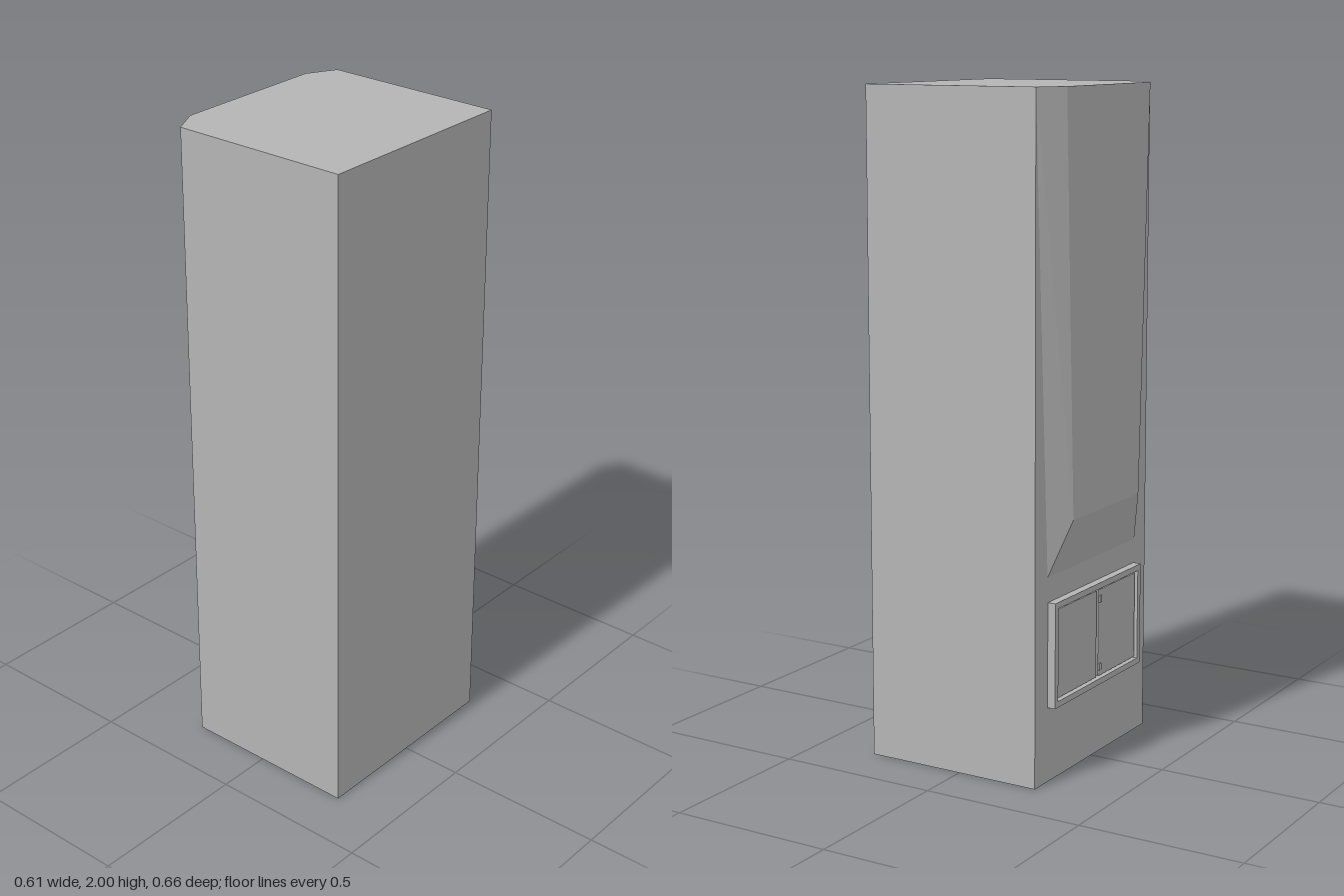
import * as THREE from 'three';
import { ConvexGeometry } from 'three/addons/geometries/ConvexGeometry.js';

export function createModel() {
  const model = new THREE.Group();
  model.name = 'cabinetTower';
  const grey = new THREE.MeshStandardMaterial({ color: 0xb4b4b4 });
  grey.name = 'plain grey';

  const add = (parent, name, geometry, x = 0, y = 0, z = 0) => {
    const mesh = new THREE.Mesh(geometry, grey);
    mesh.name = name;
    mesh.position.set(x, y, z);
    parent.add(mesh);
    return mesh;
  };
  const rect = (path, w, h) => {
    path.moveTo(-w / 2, -h / 2);
    path.lineTo(w / 2, -h / 2);
    path.lineTo(w / 2, h / 2);
    path.lineTo(-w / 2, h / 2);
    path.closePath();
    return path;
  };

  // Tall body, its +x wall leaning in by a hair
  const side = -0.259, halfDepth = 0.332;
  const profile = new THREE.Shape([
    new THREE.Vector2(side, 0),
    new THREE.Vector2(0.306, 0),
    new THREE.Vector2(0.303, 2),
    new THREE.Vector2(side, 2),
  ]);
  const body = new THREE.ExtrudeGeometry(profile, { depth: 2 * halfDepth, bevelEnabled: false });
  body.translate(0, 0, -halfDepth);
  add(model, 'body', body);

  // Chamfered hood on the -x wall, narrowing downward
  const corners = [];
  for (const s of [-1, 1]) {
    corners.push(
      new THREE.Vector3(side, 2, s * halfDepth),
      new THREE.Vector3(-0.306, 2, s * 0.244),
      new THREE.Vector3(side, 0.615, s * 0.262),
      new THREE.Vector3(-0.306, 0.776, s * 0.197),
    );
  }
  add(model, 'hood', new ConvexGeometry(corners));

  // Hatch below the hood, built facing +z and turned to face -x
  const hatch = new THREE.Group();
  hatch.name = 'hatch';
  hatch.position.set(side, 0.383, 0);
  hatch.rotation.y = -Math.PI / 2;
  model.add(hatch);

  const outline = rect(new THREE.Shape(), 0.52, 0.315);
  outline.holes.push(rect(new THREE.Path(), 0.484, 0.279));
  add(hatch, 'hatchFrame', new THREE.ExtrudeGeometry(outline, { depth: 0.025, bevelEnabled: false }));

  // Pair of doors, with small hinges beside the gap
  for (const s of [-1, 1]) {
    const name = s < 0 ? 'rearDoor' : 'frontDoor';
    add(hatch, name, new THREE.BoxGeometry(0.23, 0.267, 0.018), s * 0.12, 0, 0.009);
    add(hatch, 'doorHinge', new THREE.BoxGeometry(0.012, 0.02, 0.005), 0.014, s * 0.105, 0.0205);
  }
  return model;
}
